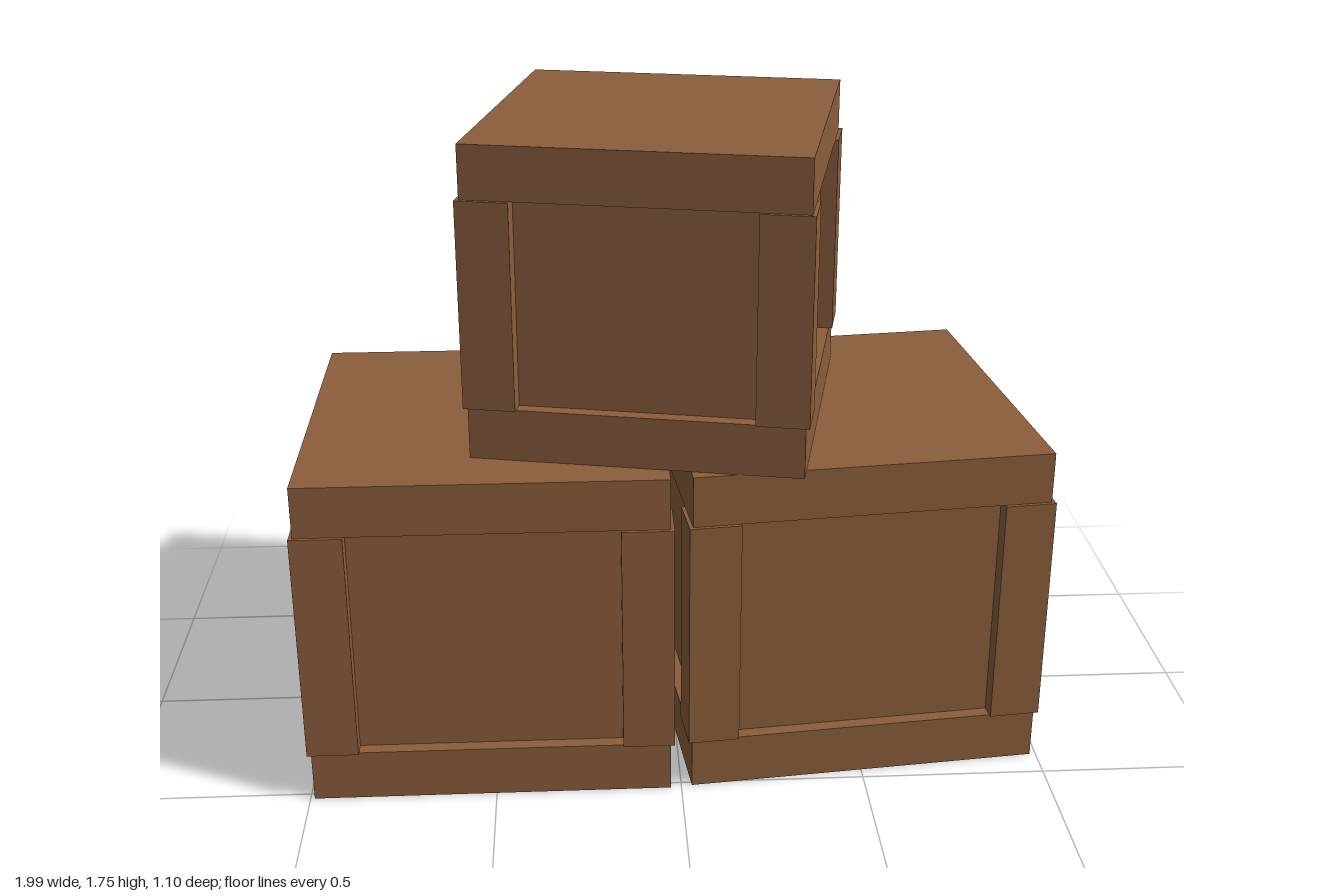
import * as THREE from 'three';

const wood = new THREE.MeshStandardMaterial({ color: 0x8b5e3c });
wood.name = 'brown wood';

const BAND = 0.14;   // height of top and bottom slabs
const POST = 0.137;  // thickness of corner posts

function addBox(parent, name, w, h, d, x, y, z) {
  const mesh = new THREE.Mesh(new THREE.BoxGeometry(w, h, d), wood);
  mesh.name = name;
  mesh.position.set(x, y, z);
  parent.add(mesh);
}

// A square crate: recessed panels between two slabs and four proud corner posts
function makeCrate(name, size, height) {
  const crate = new THREE.Group();
  crate.name = name;
  const inner = height - 2 * BAND;
  const panel = size - 0.072;
  addBox(crate, 'sidePanels', panel, inner, panel, 0, height / 2, 0);
  addBox(crate, 'bottomSlab', size, BAND, size, 0, BAND / 2, 0);
  addBox(crate, 'topSlab', size, BAND, size, 0, height - BAND / 2, 0);
  const p = size / 2 + 0.01 - POST / 2;
  for (const sx of [-1, 1]) {
    for (const sz of [-1, 1]) {
      addBox(crate, 'cornerPost', POST, inner, POST, sx * p, height / 2, sz * p);
    }
  }
  return crate;
}

export function createModel() {
  const model = new THREE.Group();
  model.name = 'crateStack';

  // name, size, height, position, turn in degrees
  const crates = [
    ['rightCrate', 0.96, 0.92, [-0.509, 0, 0.042], 0],
    ['leftCrate', 0.96, 0.92, [0.456, 0, -0.014], 6],
    ['topCrate', 0.87, 0.83, [-0.026, 0.92, 0.02], -12],
  ];
  for (const [name, size, height, pos, turn] of crates) {
    const crate = makeCrate(name, size, height);
    crate.position.set(...pos);
    crate.rotation.y = THREE.MathUtils.degToRad(turn);
    model.add(crate);
  }
  return model;
}
